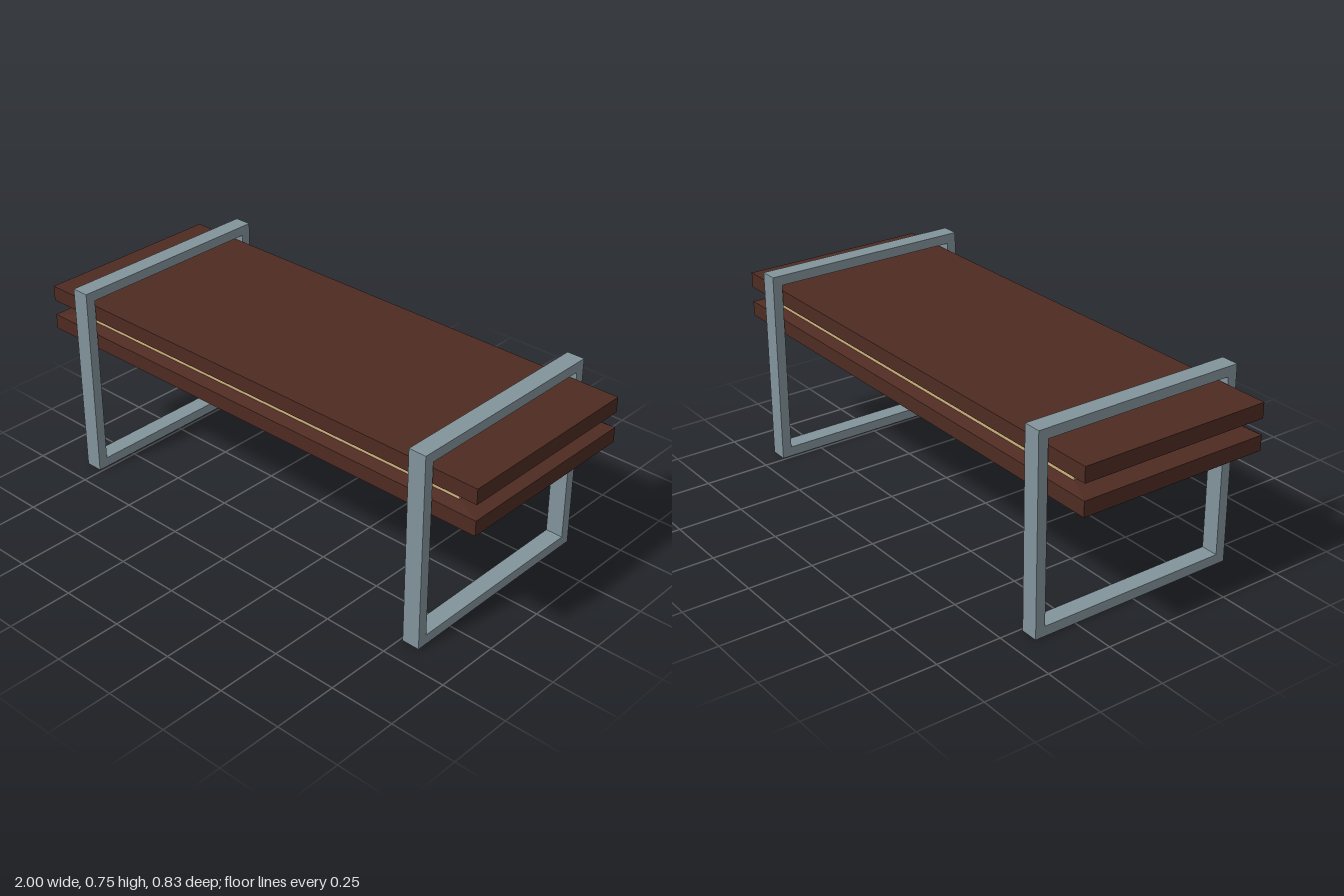
import * as THREE from 'three';

const steel = new THREE.MeshStandardMaterial({ color: 0x82949b });
steel.name = 'blue grey steel';
const wood = new THREE.MeshStandardMaterial({ color: 0x4e2b22 });
wood.name = 'dark brown wood';
const core = new THREE.MeshStandardMaterial({ color: 0xcbb07a });
core.name = 'pale wood';

const EDGE = { x: 1, z: 0.374 };        // outer half sizes of the boards
const INSET = { x: 0.904, z: 0.337 };   // half sizes where the bevel meets the core

function addMesh(group, name, geometry, material) {
  const mesh = new THREE.Mesh(geometry, material);
  mesh.name = name;
  group.add(mesh);
  return mesh;
}

// Board with straight sides between two levels and a bevel towards the core
function boardGeometry(levels, insetLevel) {
  const box = new THREE.BoxGeometry(2, 2, 2, 1, 2, 1);
  const p = box.attributes.position;
  for (let i = 0; i < p.count; i++) {
    const row = Math.round(p.getY(i)) + 1;
    const size = row === insetLevel ? INSET : EDGE;
    p.setXYZ(i, Math.sign(p.getX(i)) * size.x, levels[row], Math.sign(p.getZ(i)) * size.z);
  }
  const flat = box.toNonIndexed();
  flat.computeVertexNormals();
  return flat;
}

// Closed rectangular loop of square bar, standing in the yz plane
function frameGeometry(halfDepth, height, bar, width) {
  const outline = new THREE.Shape();
  outline.moveTo(-halfDepth, 0);
  outline.lineTo(halfDepth, 0);
  outline.lineTo(halfDepth, height);
  outline.lineTo(-halfDepth, height);
  outline.closePath();
  const inner = halfDepth - bar;
  const hole = new THREE.Path();
  hole.moveTo(-inner, bar);
  hole.lineTo(-inner, height - bar);
  hole.lineTo(inner, height - bar);
  hole.lineTo(inner, bar);
  hole.closePath();
  outline.holes.push(hole);
  const geometry = new THREE.ExtrudeGeometry(outline, { depth: width, bevelEnabled: false });
  geometry.translate(0, 0, -width / 2);
  geometry.rotateY(Math.PI / 2);
  return geometry;
}

export function createModel() {
  const table = new THREE.Group();
  table.name = 'table';

  // Two boards, bevelled towards each other
  addMesh(table, 'lowerBoard', boardGeometry([0.514, 0.571, 0.59], 2), wood);
  addMesh(table, 'upperBoard', boardGeometry([0.616, 0.631, 0.689], 0), wood);

  // Pale core between the boards
  const coreGeometry = new THREE.BoxGeometry(INSET.x * 2, 0.026, INSET.z * 2);
  addMesh(table, 'core', coreGeometry, core).position.y = 0.603;

  // Loop legs around both ends
  const loop = frameGeometry(0.416, 0.752, 0.038, 0.068);
  for (const side of [-1, 1]) {
    const name = side > 0 ? 'leftLegFrame' : 'rightLegFrame';
    addMesh(table, name, loop, steel).position.x = side * 0.794;
  }
  return table;
}
